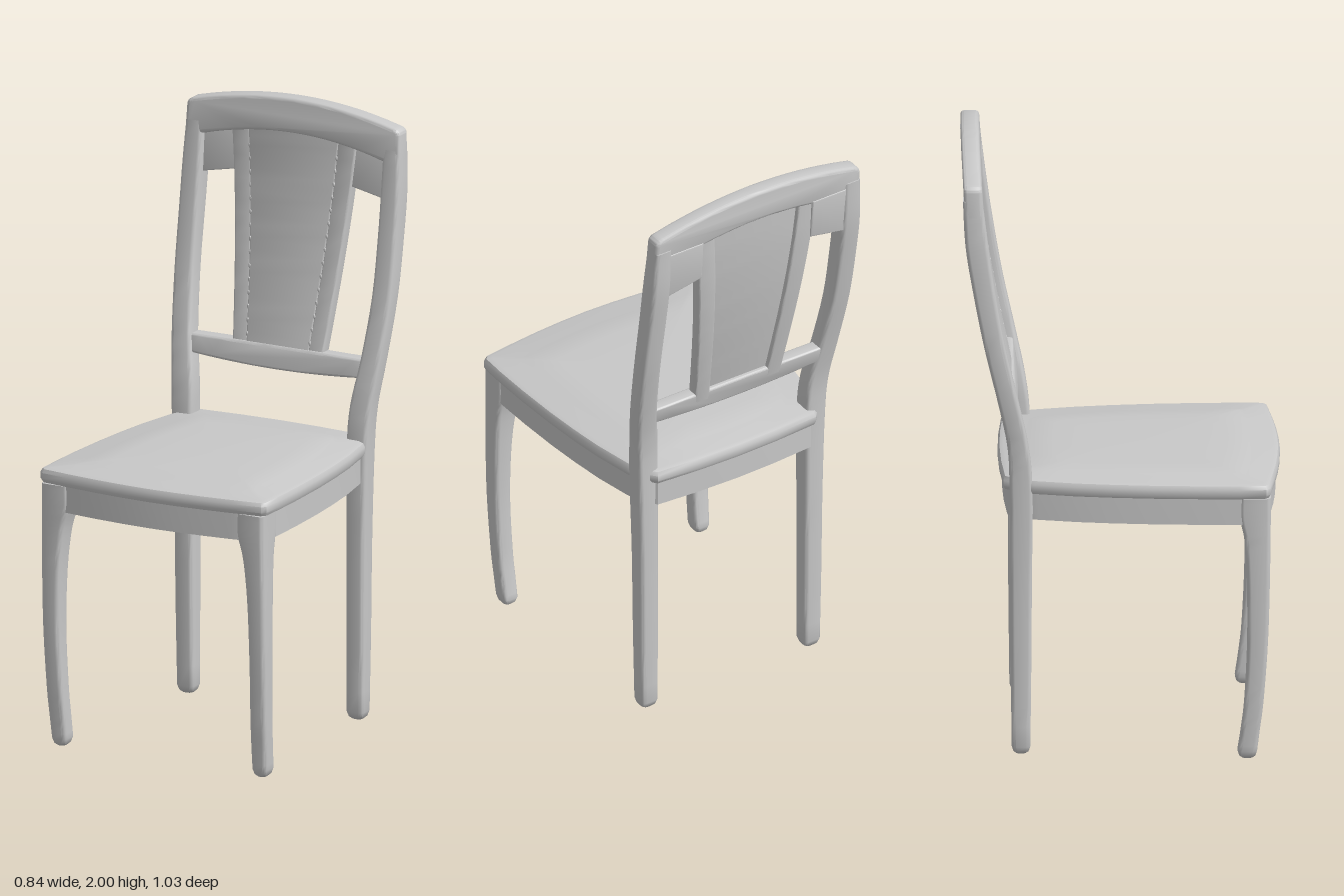
import * as THREE from 'three';
import { toCreasedNormals } from 'three/addons/utils/BufferGeometryUtils.js';

const wood = new THREE.MeshStandardMaterial({ color: 0xc8c8c8 });
wood.name = 'pale grey';

function part(name, geometry, crease = 0.7) {
  const mesh = new THREE.Mesh(toCreasedNormals(geometry, crease), wood);
  mesh.name = name;
  return mesh;
}

// Skin a stack of rings (bottom to top, counterclockwise from above) with end caps
function loft(rings) {
  const n = rings[0].length, pos = [], idx = [];
  rings.forEach(r => r.forEach(p => pos.push(p.x, p.y, p.z)));
  for (let j = 0; j < rings.length - 1; j++) {
    for (let i = 0; i < n; i++) {
      const a = j * n + i, b = j * n + (i + 1) % n;
      idx.push(a, b, b + n, a, b + n, a + n);
    }
  }
  const cap = (j, flip) => {
    const c = new THREE.Vector3();
    rings[j].forEach(p => c.add(p));
    c.divideScalar(n);
    const k = pos.length / 3;
    pos.push(c.x, c.y, c.z);
    for (let i = 0; i < n; i++) {
      const a = j * n + i, b = j * n + (i + 1) % n;
      if (flip) idx.push(k, b, a); else idx.push(k, a, b);
    }
  };
  cap(0, true);
  cap(rings.length - 1, false);
  const g = new THREE.BufferGeometry();
  g.setAttribute('position', new THREE.Float32BufferAttribute(pos, 3));
  g.setIndex(idx);
  return g;
}

// Rounded rectangle at height y
function boxRing(y, x0, x1, z0, z1, r) {
  const ring = [];
  const corners = [[x1 - r, z0 + r], [x0 + r, z0 + r], [x0 + r, z1 - r], [x1 - r, z1 - r]];
  corners.forEach(([cx, cz], q) => {
    for (let k = 0; k < 4; k++) {
      const a = (q + k / 3) * Math.PI / 2;
      ring.push(new THREE.Vector3(cx + r * Math.cos(a), y, cz - r * Math.sin(a)));
    }
  });
  return ring;
}

// Smooth bar through rows of [y, x0, x1, z0, z1]; side -1 mirrors it in x
function bar(rows, side, r, foot) {
  const lo = new THREE.CatmullRomCurve3(rows.map(q => new THREE.Vector3(q[1], q[0], q[3])), false, 'catmullrom');
  const hi = new THREE.CatmullRomCurve3(rows.map(q => new THREE.Vector3(q[2], q[0], q[4])), false, 'catmullrom');
  const ring = (a, b, y, d) => {
    const xs = [side * a.x, side * b.x].sort((m, n) => m - n);
    return boxRing(y, xs[0] + d, xs[1] - d, a.z + d, b.z - d, r);
  };
  const rings = [], steps = (rows.length - 1) * 4;
  if (foot) {
    const a = lo.getPoint(0), b = hi.getPoint(0);
    rings.push(ring(a, b, 0, 0.013), ring(a, b, 0.008, 0.005));
  }
  for (let i = 0; i <= steps; i++) {
    const a = lo.getPoint(i / steps), b = hi.getPoint(i / steps);
    rings.push(ring(a, b, a.y, 0));
  }
  return loft(rings);
}

// Plan of the seat: half outline from front centre to back centre, mirrored
function seatPlan() {
  const half = [[0, 0.513], [0.1, 0.51], [0.2, 0.503], [0.3, 0.492], [0.405, 0.478], [0.418, 0.465],
    [0.42, 0.38], [0.418, 0.25], [0.411, 0.1], [0.4, -0.03], [0.385, -0.15], [0.36, -0.28],
    [0.345, -0.335], [0.305, -0.382], [0.15, -0.393], [0, -0.397]];
  const left = half.slice(1, -1).reverse().map(([x, z]) => [-x, z]);
  return half.concat(left);
}

const seatCentre = 0.06;
function seatRing(inset, y) {
  const sx = 1 - inset / 0.42, sz = 1 - inset / 0.455;
  return seatPlan().map(([x, z]) => new THREE.Vector3(x * sx, y, seatCentre + (z - seatCentre) * sz));
}

// Upright plate from a front-facing shape, leaning back with height
function leaningPlate(shape, zBack, depth, bevel, lean, yRef) {
  const g = new THREE.ExtrudeGeometry(shape, { depth: depth - 2 * bevel, bevelEnabled: true, bevelThickness: bevel,
    bevelSize: bevel, bevelOffset: -bevel, bevelSegments: 3, curveSegments: 16 });
  g.translate(0, 0, zBack + bevel);
  const p = g.attributes.position;
  for (let i = 0; i < p.count; i++) p.setZ(i, p.getZ(i) - (p.getY(i) - yRef) * lean);
  return g;
}

// Front surface of the back splat at height y
const splatFront = y => -0.345 - 0.115 * Math.sin(Math.min(1, (y - 1.16) / 0.74) * 1.4) / Math.sin(1.4);
const splatRows = (inner, outer, front, back) => [1.15, 1.3, 1.45, 1.6, 1.75, 1.89].map(y => {
  const t = (y - 1.15) / 0.74;
  return [y, inner(t), outer(t), splatFront(y) + back, splatFront(y) + front];
});

export function createModel() {
  const chair = new THREE.Group();
  chair.name = 'chair';

  // Seat slab with rounded edge and a slightly raised pad
  chair.add(part('seat', loft([seatRing(0.02, 0.888), seatRing(0.006, 0.892), seatRing(0, 0.904),
    seatRing(0, 0.924), seatRing(0.006, 0.936), seatRing(0.02, 0.941), seatRing(0.085, 0.943),
    seatRing(0.1, 0.948), seatRing(0.18, 0.953), seatRing(0.3, 0.956)])));

  // Apron frame under the seat, open in the middle
  const toPath = (inset, Type) => new Type(seatRing(inset, 0).map(p => new THREE.Vector2(p.x, -p.z)));
  const apronShape = toPath(0.014, THREE.Shape);
  apronShape.holes.push(toPath(0.075, THREE.Path));
  const apron = new THREE.ExtrudeGeometry(apronShape, { depth: 0.092, bevelEnabled: false });
  apron.rotateX(-Math.PI / 2).translate(0, 0.802, 0);
  chair.add(part('apron', apron));

  const frontLeg = [[0.025, 0.343, 0.397, 0.372, 0.435], [0.1, 0.344, 0.401, 0.383, 0.444],
    [0.2, 0.347, 0.405, 0.394, 0.456], [0.4, 0.351, 0.41, 0.403, 0.47], [0.6, 0.346, 0.411, 0.402, 0.476],
    [0.74, 0.332, 0.41, 0.395, 0.478], [0.82, 0.312, 0.409, 0.38, 0.479], [0.89, 0.312, 0.409, 0.38, 0.479]];
  const backPost = [[0.025, 0.282, 0.344, -0.355, -0.295], [0.3, 0.283, 0.348, -0.358, -0.292],
    [0.6, 0.284, 0.351, -0.36, -0.29], [0.9, 0.286, 0.359, -0.362, -0.288], [1.05, 0.291, 0.368, -0.369, -0.302],
    [1.2, 0.313, 0.385, -0.398, -0.333], [1.4, 0.33, 0.399, -0.444, -0.377], [1.6, 0.333, 0.401, -0.482, -0.411],
    [1.75, 0.333, 0.4, -0.505, -0.432], [1.9, 0.333, 0.394, -0.513, -0.45]];

  for (const side of [1, -1]) {
    const name = side > 0 ? 'left' : 'right';
    chair.add(part(name + 'FrontLeg', bar(frontLeg, side, 0.014, true)));
    chair.add(part(name + 'BackPost', bar(backPost, side, 0.013, true)));

    // Thicker edge strips of the splat
    const stile = splatRows(t => 0.108 + 0.055 * t, t => 0.163 + 0.067 * t, 0, -0.042);
    chair.add(part(name + 'SplatStile', bar(stile, side, 0.006, false)));

    // Rear bracket between the splat and the post
    const b = new THREE.Shape();
    b.moveTo(side * 0.21, 1.735);
    b.lineTo(side * 0.345, 1.708);
    b.lineTo(side * 0.345, 1.88);
    b.lineTo(side * 0.21, 1.88);
    chair.add(part(name + 'Bracket', leaningPlate(b, -0.507, 0.04, 0.005, 0.08, 1.85)));

    // Stitches along the panel seam
    for (let i = 0; i < 15; i++) {
      const y = 1.22 + i * 0.043, t = (y - 1.15) / 0.74;
      const stitch = part(name + 'Stitch', new THREE.SphereGeometry(0.006, 8, 6), 1.2);
      stitch.scale.set(0.8, 1.5, 0.5);
      stitch.position.set(side * (0.11 + 0.055 * t), y, splatFront(y));
      chair.add(stitch);
    }
  }

  // Splat centre panel, recessed at the rear
  chair.add(part('splatPanel', bar(splatRows(t => -0.112 - 0.055 * t, t => 0.112 + 0.055 * t, 0.002, -0.025), 1, 0.005, false)));

  // Arched top rail
  const top = new THREE.Shape();
  top.moveTo(-0.397, 1.83);
  top.lineTo(-0.333, 1.838);
  top.quadraticCurveTo(0, 1.932, 0.333, 1.838);
  top.lineTo(0.397, 1.83);
  top.lineTo(0.393, 1.93);
  top.quadraticCurveTo(0.391, 1.948, 0.365, 1.953);
  top.quadraticCurveTo(0, 2.047, -0.365, 1.953);
  top.quadraticCurveTo(-0.391, 1.948, -0.393, 1.93);
  top.closePath();
  chair.add(part('topRail', leaningPlate(top, -0.509, 0.06, 0.012, 0.07, 1.9)));

  // Lower back rail with a bowed lower edge
  const low = new THREE.Shape();
  low.moveTo(-0.32, 1.137);
  low.quadraticCurveTo(0, 1.108, 0.32, 1.137);
  low.lineTo(0.325, 1.197);
  low.quadraticCurveTo(0, 1.2, -0.325, 1.197);
  low.closePath();
  chair.add(part('lowerBackRail', leaningPlate(low, -0.387, 0.05, 0.008, 0.2, 1.16)));

  return chair;
}
